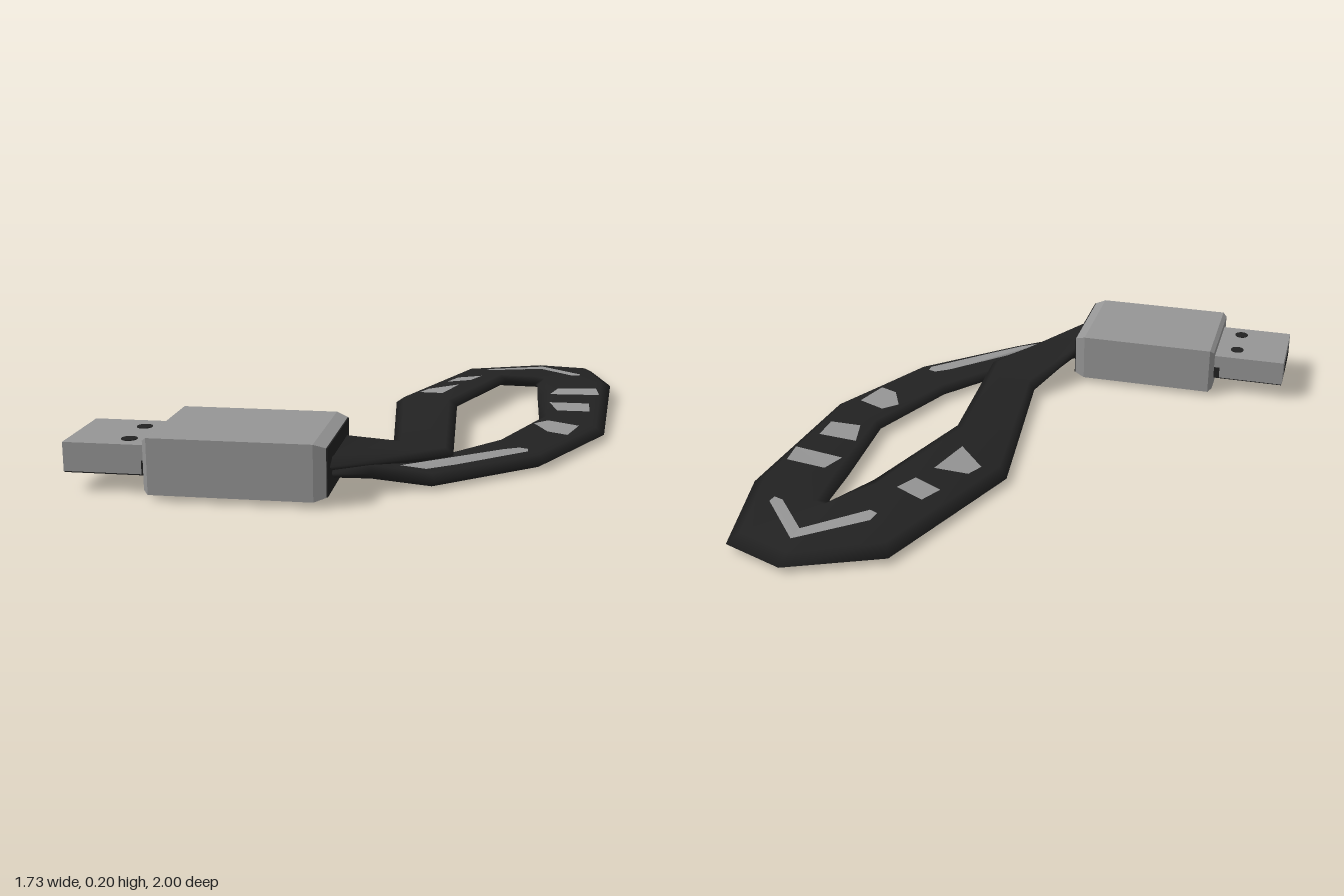
import * as THREE from 'three';

const metal = new THREE.MeshStandardMaterial({ color: 0x969696 });
metal.name = 'grey metal';
const black = new THREE.MeshStandardMaterial({ color: 0x222222 });
black.name = 'black fabric';

// Skin a list of cross-section rings (clockwise when looking along the path) and cap both ends
function loft(rings) {
  const n = rings[0].length, index = [];
  for (let i = 0; i < rings.length - 1; i++) {
    for (let j = 0; j < n; j++) {
      const a = i * n + j, b = i * n + (j + 1) % n;
      index.push(a, b, a + n, b, b + n, a + n);
    }
  }
  const last = (rings.length - 1) * n;
  for (let j = 1; j < n - 1; j++) {
    index.push(0, j + 1, j, last, last + j, last + j + 1);
  }
  const g = new THREE.BufferGeometry();
  g.setAttribute('position', new THREE.Float32BufferAttribute(rings.flat(2), 3));
  g.setIndex(index);
  g.computeVertexNormals();
  return g;
}

function flat(geometry) {
  const g = geometry.toNonIndexed();
  g.computeVertexNormals();
  return g;
}

export function createModel() {
  const model = new THREE.Group();
  model.name = 'usbStickWithStrap';
  const add = (name, geometry, material, x = 0, y = 0, z = 0) => {
    const mesh = new THREE.Mesh(geometry, material);
    mesh.name = name;
    mesh.position.set(x, y, z);
    model.add(mesh);
    return mesh;
  };
  const box = (name, material, x0, x1, y0, y1, z0, z1) =>
    add(name, new THREE.BoxGeometry(x1 - x0, y1 - y0, z1 - z0), material,
      (x0 + x1) / 2, (y0 + y1) / 2, (z0 + z1) / 2);

  // Case with bevelled ends
  const caseRings = [[-0.59, 0.012], [-0.575, 0], [-0.06, 0], [-0.022, 0.013]].map(([x, d]) => [
    [x, 0.02 + d, 0.595 + d], [x, 0.2 - d, 0.595 + d],
    [x, 0.2 - d, 1 - d], [x, 0.02 + d, 1 - d]]);
  add('case', flat(loft(caseRings)), metal);
  box('caseEndPanel', black, -0.023, -0.018, 0.034, 0.186, 0.61, 0.986);

  // Connector with open end, dark base and two contact holes
  box('connector', metal, -0.865, -0.58, 0.066, 0.16, 0.645, 0.94);
  box('connectorBase', black, -0.863, -0.59, 0.062, 0.067, 0.647, 0.938);
  box('connectorRoot', black, -0.612, -0.588, 0.064, 0.11, 0.643, 0.942);
  const slot = new THREE.Shape();
  slot.absarc(-0.08, 0, 0.026, Math.PI / 2, Math.PI * 1.5);
  slot.absarc(0.08, 0, 0.026, -Math.PI / 2, Math.PI / 2);
  add('connectorSlot', new THREE.ShapeGeometry(slot), black, -0.867, 0.108, 0.793)
    .rotation.y = -Math.PI / 2;
  for (const z of [0.725, 0.875]) {
    add('contactHole', new THREE.CylinderGeometry(0.026, 0.026, 0.005, 16), black, -0.67, 0.16, z);
  }

  // Looped strap: outer edge and inner edge at each bend
  const bends = [
    [[-0.03, 0.12, 0.62], [-0.03, 0.12, 0.965]],
    [[0.1, 0.035, 0.4], [0.32, 0.058, 0.56]],
    [[0.02, 0.023, -0.28], [0.28, 0.078, -0.04]],
    [[0.25, 0.023, -0.86], [0.44, 0.075, -0.49]],
    [[0.57, 0.023, -1], [0.555, 0.04, -0.61]],
    [[0.79, 0.03, -0.93], [0.565, 0.036, -0.6]],
    [[0.86, 0.05, -0.57], [0.57, 0.03, -0.42]],
    [[0.82, 0.023, 0.1], [0.585, 0.03, -0.06]],
    [[0.62, 0.023, 0.49], [0.44, 0.028, 0.29]],
    [[0.28, 0.03, 0.77], [0.2, 0.03, 0.61]],
    [[0.09, 0.065, 0.83], [0.05, 0.065, 0.65]],
    [[-0.03, 0.09, 0.93], [-0.03, 0.09, 0.65]],
  ];
  const h = 0.022;
  const section = [[0, 0], [0.13, h], [0.87, h], [1, 0], [0.87, -h], [0.13, -h]];
  const strap = add('strap', loft(bends.map(([o, i]) => section.map(([t, dy]) => [
    o[0] + (i[0] - o[0]) * t, o[1] + (i[1] - o[1]) * t + dy, o[2] + (i[2] - o[2]) * t]))), black);
  strap.updateMatrixWorld();

  // Thin grey patches laid on the strap, given as outlines in x and z
  const patches = {
    chevronLeft: [[0.35, -0.69], [0.36, -0.73], [0.58, -0.88], [0.575, -0.82], [0.38, -0.68]],
    chevronRight: [[0.58, -0.88], [0.74, -0.7], [0.735, -0.67], [0.7, -0.68], [0.575, -0.82]],
    barPatch: [[0.17, 0.755], [0.25, 0.735], [0.34, 0.66], [0.56, 0.46], [0.56, 0.43],
      [0.53, 0.42], [0.48, 0.45], [0.28, 0.64]],
    wedgePatch: [[0.11, -0.29], [0.14, -0.35], [0.26, -0.37], [0.21, -0.2]],
    smallPatch: [[0.2, -0.48], [0.24, -0.56], [0.34, -0.53], [0.3, -0.45]],
    upperPatch: [[0.62, -0.35], [0.65, -0.44], [0.8, -0.43], [0.81, -0.33]],
    middlePatch: [[0.62, -0.22], [0.77, -0.21], [0.77, -0.1], [0.65, -0.1]],
    lowerPatch: [[0.57, 0.1], [0.62, 0.05], [0.73, 0.1], [0.69, 0.23], [0.62, 0.2]],
  };
  const ray = new THREE.Raycaster();
  const down = new THREE.Vector3(0, -1, 0);
  for (const [name, outline] of Object.entries(patches)) {
    const shape = new THREE.Shape(outline.map(([x, z]) => new THREE.Vector2(x, -z)));
    const g = new THREE.ShapeGeometry(shape).rotateX(-Math.PI / 2);
    const p = g.attributes.position;
    for (let i = 0; i < p.count; i++) {
      ray.set(new THREE.Vector3(p.getX(i), 1, p.getZ(i)), down);
      const hit = ray.intersectObject(strap)[0];
      p.setY(i, (hit ? hit.point.y : 0.04) + 0.006);
    }
    g.computeVertexNormals();
    add(name, g, metal);
  }
  return model;
}
